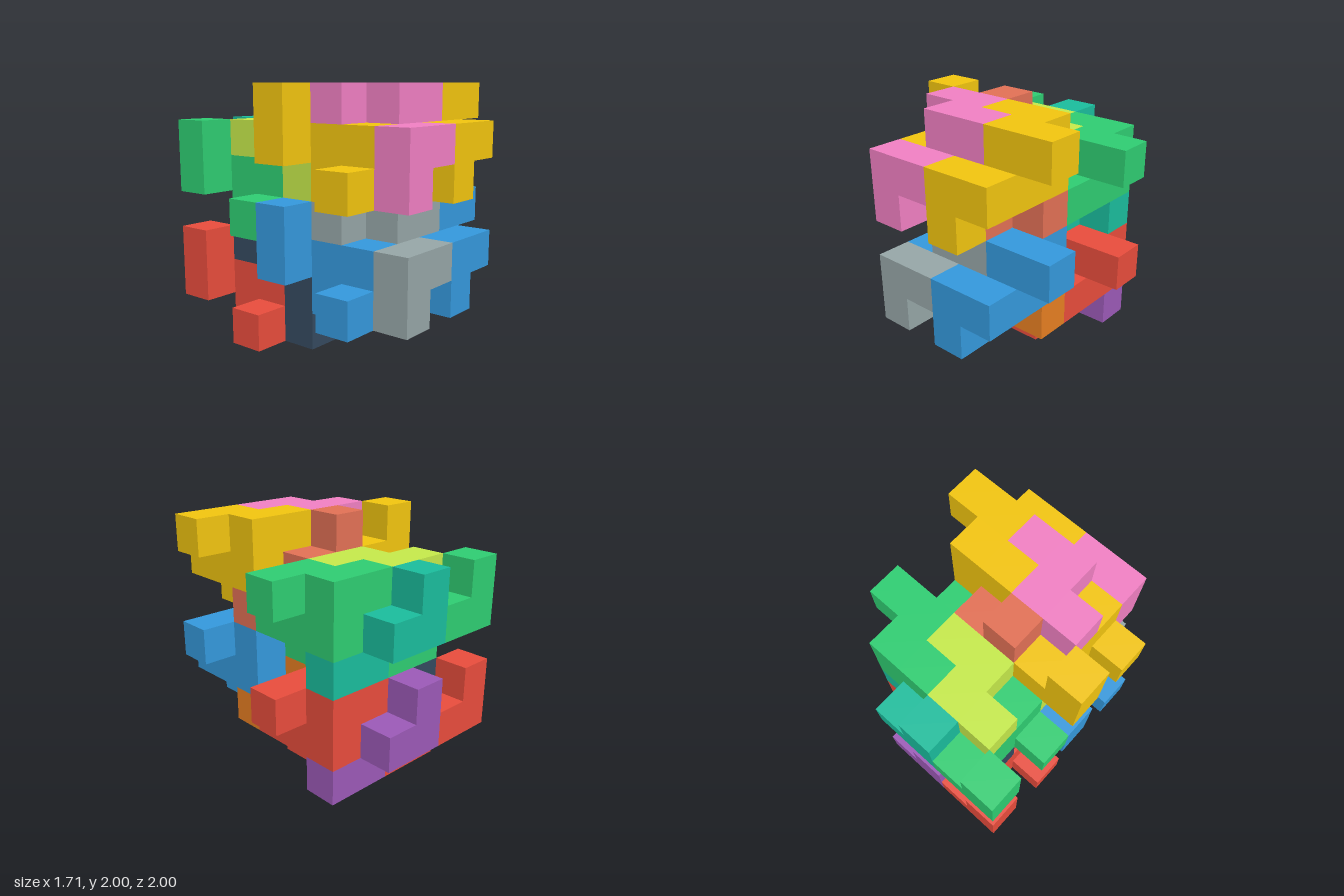
import * as THREE from 'three';
import { mergeGeometries } from 'three/addons/utils/BufferGeometryUtils.js';

const U = 2 / 7; // edge of one cube cell

// Nine-cell pieces as [column, height, depth from the front]
const FRONT_HOOK = [
  [1, 0, 0], [1, 1, 0], [2, 1, 0],
  [2, 1, 1], [2, 2, 1], [3, 2, 1],
  [2, 1, 2], [1, 2, 2], [2, 2, 2],
];
const BACK_HOOK = [
  [0, 0, 1], [1, 0, 1], [1, 1, 1],
  [1, 0, 2], [2, 0, 2], [1, 1, 2],
  [0, 1, 3], [0, 2, 3], [1, 1, 3],
];

const DIRECTIONS = [[1, 0, 0], [-1, 0, 0], [0, 1, 0], [0, -1, 0], [0, 0, 1], [0, 0, -1]];

// Outer skin of a piece: faces between its own cells are left out
function pieceGeometry(cells) {
  const filled = new Set(cells.map((c) => c.join()));
  const forward = new THREE.Vector3(0, 0, 1);
  const faces = [];
  for (const [i, j, k] of cells) {
    for (const [dx, dy, dz] of DIRECTIONS) {
      if (filled.has([i + dx, j + dy, k - dz].join())) continue;
      const turn = new THREE.Quaternion().setFromUnitVectors(forward, new THREE.Vector3(dx, dy, dz));
      faces.push(new THREE.PlaneGeometry(U, U)
        .translate(0, 0, U / 2)
        .applyQuaternion(turn)
        .translate((i - 2.5) * U, (j + 0.5) * U, 1 - (k + 0.5) * U));
    }
  }
  return mergeGeometries(faces);
}

// Four interlocking clusters: lift and depth in cells, colours of their pieces
const CLUSTERS = [
  { name: 'lowerFront', lift: 1, depth: 0, main: 0x3498db, front: 0x95a5a6, back: 0xe67e22 },
  { name: 'lowerBack', lift: 0, depth: 3, main: 0xe74c3c, front: 0x34495e, back: 0x9b59b6 },
  { name: 'upperFront', lift: 4, depth: 0, main: 0xf1c40f, front: 0xf07fc2, back: 0xe17055 },
  { name: 'upperBack', lift: 3, depth: 3, main: 0x2ecc71, front: 0xc4e84a, back: 0x1abc9c },
];

export function createModel() {
  const model = new THREE.Group();
  model.name = 'interlockingCubePieces';

  for (const { name, lift, depth, main, front, back } of CLUSTERS) {
    const cluster = new THREE.Group();
    cluster.name = name + 'Cluster';

    const addPiece = (pieceName, cells, shift, color) => {
      const moved = cells.map(([i, j, k]) => [i + shift, j + lift, k + depth]);
      const mesh = new THREE.Mesh(pieceGeometry(moved), new THREE.MeshStandardMaterial({ color }));
      mesh.name = pieceName;
      cluster.add(mesh);
    };

    // Each hook appears twice, two columns apart
    addPiece('frontHookRight', FRONT_HOOK, 0, front);
    addPiece('frontHookLeft', FRONT_HOOK, 2, main);
    addPiece('backHookRight', BACK_HOOK, 0, main);
    addPiece('backHookLeft', BACK_HOOK, 2, back);
    model.add(cluster);
  }
  return model;
}
